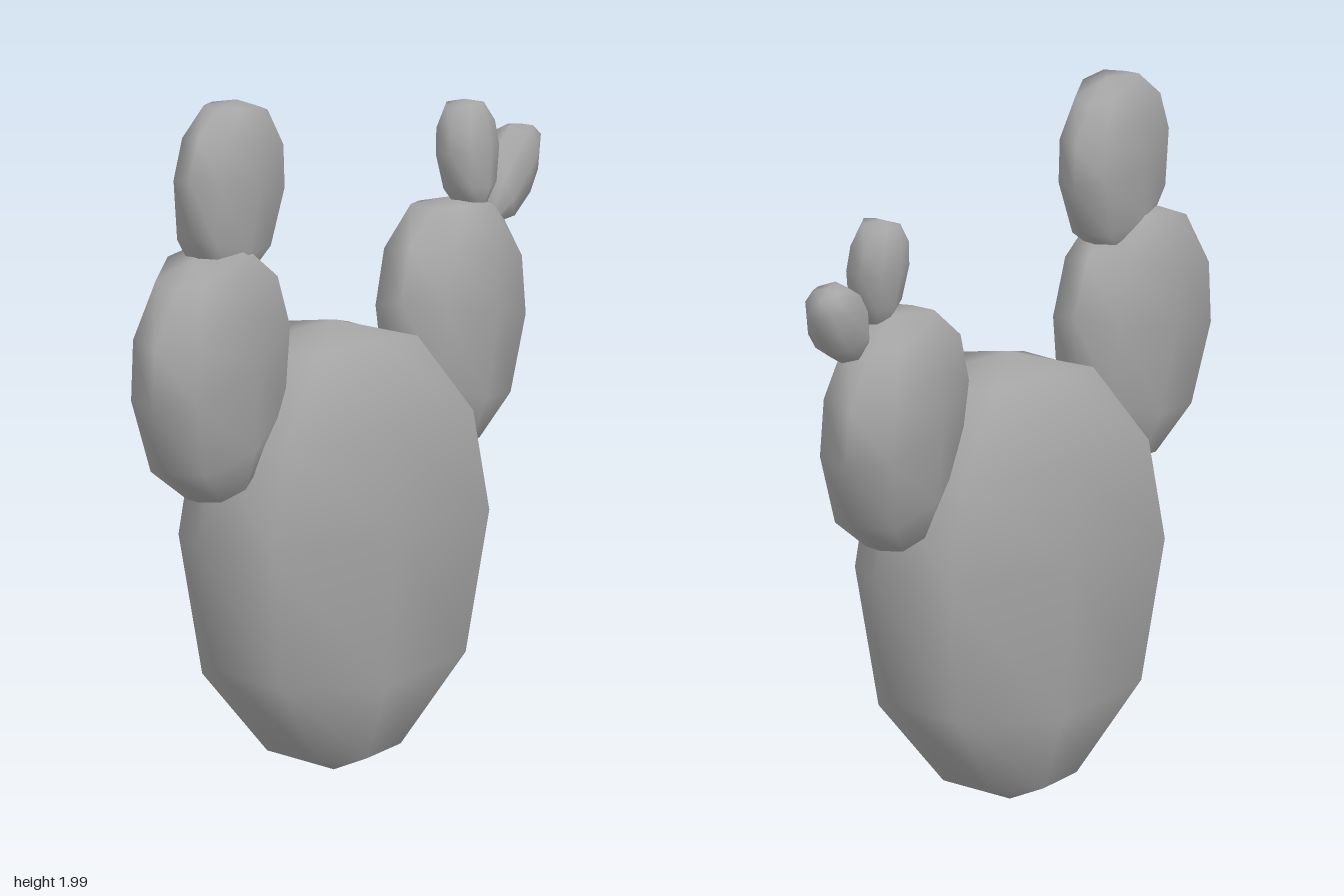
import * as THREE from 'three';
import { mergeVertices } from 'three/addons/utils/BufferGeometryUtils.js';

// Rings of a unit pad from top to bottom: [rim y, half width, face y, half depth]
const RINGS = [
  [1, 0, 1, 0],
  [0.88, 0.45, 0.95, 0.74],
  [0.56, 0.86, 0.55, 0.98],
  [0.12, 1, 0.08, 1],
  [-0.45, 0.86, -0.6, 0.82],
  [-0.88, 0.39, -0.92, 0.52],
  [-1, 0, -1, 0],
];

// A low-poly sphere reshaped into a flattened, slightly egg-shaped pad
function padGeometry(w, h, d) {
  let geo = new THREE.SphereGeometry(1, 8, 6);
  const p = geo.attributes.position;
  for (let i = 0; i < p.count; i++) {
    const x = p.getX(i), y = p.getY(i), z = p.getZ(i);
    const ring = RINGS[Math.round(Math.acos(THREE.MathUtils.clamp(y, -1, 1)) / (Math.PI / 6))];
    const r = Math.hypot(x, z);
    const c = r > 1e-4 ? x / r : 1, s = r > 1e-4 ? z / r : 0;
    const diagonal = Math.abs(c * s) > 0.1;
    p.setXYZ(i,
      c * ring[1] * w * (diagonal ? 1.12 : 1),
      (c * c * ring[0] + s * s * ring[2]) * h,
      s * ring[3] * d * (diagonal ? 1.04 : 1));
  }
  // Weld the seam and poles so the shading is smooth all round
  geo.deleteAttribute('uv');
  geo.deleteAttribute('normal');
  geo = mergeVertices(geo, 1e-4);
  geo.computeVertexNormals();
  return geo;
}

export function createModel() {
  const group = new THREE.Group();
  group.name = 'cactus';
  const skin = new THREE.MeshStandardMaterial({ color: 0xa6a6a6 });
  skin.name = 'cactus skin';

  // name, half sizes [w, h, d], centre, [pitch, yaw, lean]
  const pads = [
    ['mainPad', [0.54, 0.645, 0.255], [-0.04, 0.65, 0.018], [0, 0, 0]],
    ['rightArmPad', [0.385, 0.37, 0.14], [-0.623, 1.235, 0.12], [0, 0.34, 0.2]],
    ['rightTopPad', [0.265, 0.265, 0.1], [-0.533, 1.74, 0.095], [0, 0.34, -0.2]],
    ['leftArmPad', [0.365, 0.355, 0.148], [0.535, 1.185, -0.1], [-0.05, 0.4, -0.2]],
    ['leftUprightBud', [0.108, 0.16, 0.075], [0.615, 1.65, -0.11], [-0.1, 0.3, 0]],
    ['leftLeaningBud', [0.105, 0.175, 0.068], [0.835, 1.555, -0.18], [0, 0.42, -1.0]],
  ];
  for (const [name, size, centre, turn] of pads) {
    const pad = new THREE.Mesh(padGeometry(...size), skin);
    pad.name = name;
    pad.position.set(...centre);
    pad.rotation.set(...turn);
    group.add(pad);
  }
  return group;
}
